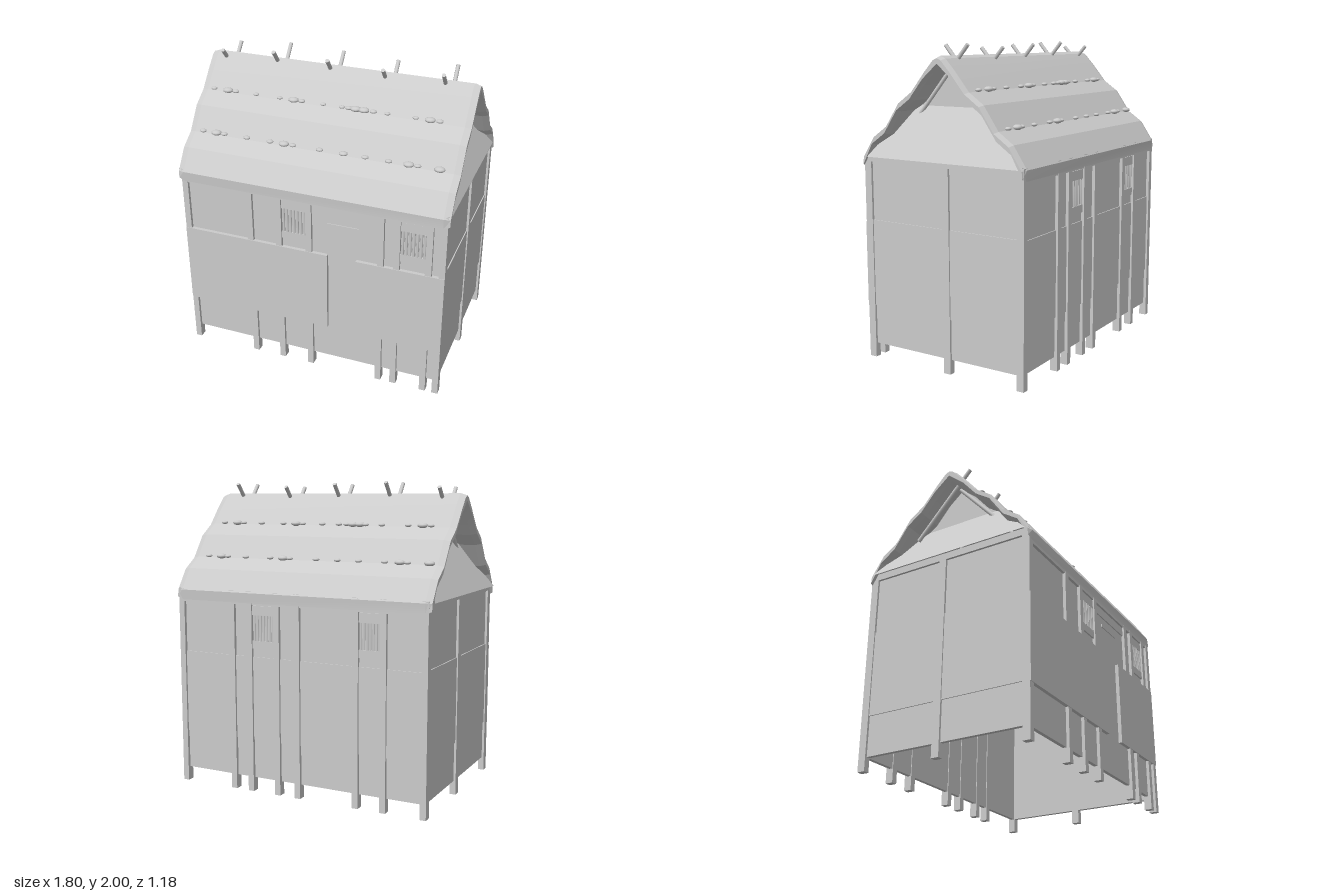
import * as THREE from 'three';
import { toCreasedNormals } from 'three/addons/utils/BufferGeometryUtils.js';

export function createModel() {
  const house = new THREE.Group();
  house.name = 'stiltHouse';
  const mat = new THREE.MeshStandardMaterial({ color: 0xcccccc });
  const matDouble = new THREE.MeshStandardMaterial({ color: 0xcccccc, side: THREE.DoubleSide });

  const add = (name, geo, m = mat) => {
    const mesh = new THREE.Mesh(geo, m);
    mesh.name = name;
    house.add(mesh);
    return mesh;
  };
  // Box given by its limits on each axis
  const box = (name, x0, x1, y0, y1, z0, z1) => {
    const g = new THREE.BoxGeometry(x1 - x0, y1 - y0, z1 - z0);
    g.translate((x0 + x1) / 2, (y0 + y1) / 2, (z0 + z1) / 2);
    return add(name, g);
  };
  // Round pole between two points
  const pole = (name, a, b, r) => {
    const dir = b.clone().sub(a);
    const mesh = add(name, new THREE.CylinderGeometry(r, r, dir.length(), 8));
    mesh.position.copy(a).add(b).multiplyScalar(0.5);
    mesh.quaternion.setFromUnitVectors(new THREE.Vector3(0, 1, 0), dir.normalize());
    return mesh;
  };

  const XL = -0.87, XR = 0.89; // outer faces of the corner posts

  // Wall sheets, open underneath
  box('frontWall', XL + 0.015, XR - 0.015, 0.09, 1.31, 0.535, 0.56);
  box('backWall', XL + 0.015, XR - 0.015, 0.09, 1.31, -0.565, -0.54);
  box('rightWall', XR - 0.04, XR - 0.015, 0.09, 1.31, -0.55, 0.55);
  box('leftWall', XL + 0.015, XL + 0.04, 0.09, 1.31, -0.55, 0.55);

  // Posts down to the ground
  for (const x of [-0.85, -0.4, -0.2, 0.005, 0.48, 0.583, 0.785, 0.87])
    box('frontPost', x - 0.02, x + 0.02, 0, 1.31, 0.53, 0.58);
  for (const x of [-0.85, -0.585, -0.4, 0.005, 0.15, 0.35, 0.48, 0.87])
    box('backPost', x - 0.02, x + 0.02, 0, 1.31, -0.585, -0.535);
  for (const x of [XL, XR - 0.04])
    box('sidePost', x, x + 0.04, 0, 1.31, -0.06, -0.01);

  // Boarded middle band, interrupted by the doorway at the front
  box('frontBoarding', XL, 0.13, 0.335, 0.885, 0.55, 0.584);
  box('frontBoarding', 0.32, XR, 0.335, 0.885, 0.55, 0.584);
  box('backBoarding', XL + 0.02, XR - 0.02, 0.345, 0.89, -0.572, -0.55);
  box('rightBoarding', XR - 0.03, XR - 0.008, 0.345, 0.9, -0.54, 0.54);
  box('leftBoarding', XL + 0.008, XL + 0.03, 0.345, 0.9, -0.54, 0.54);

  // Plates along the tops of the walls
  box('frontPlate', XL, XR, 1.225, 1.31, 0.535, 0.578);
  box('backPlate', XL, XR, 1.225, 1.31, -0.583, -0.54);
  box('rightPlate', XR - 0.04, XR, 1.27, 1.315, -0.575, 0.575);
  box('leftPlate', XL, XL + 0.04, 1.27, 1.315, -0.575, 0.575);

  // Door head and latch rail
  box('doorHead', 0.025, 0.46, 1.16, 1.22, 0.55, 0.568);
  box('doorRail', 0.125, 0.335, 1.09, 1.11, 0.55, 0.566);

  // Barred windows with sills and heads
  const barredWindow = (x0, x1, side) => {
    const strip = (name, y0, y1, d) =>
      side > 0 ? box(name, x0, x1, y0, y1, 0.55, d) : box(name, x0, x1, y0, y1, -d - 0.004, -0.55);
    strip('windowSill', 0.945, 0.995, 0.57);
    strip('windowHead', 1.16, 1.22, 0.57);
    const n = 7, step = (x1 - x0) / n;
    for (let i = 0; i < n; i++) {
      const x = x0 + step * (i + 0.5), z = side * 0.563;
      pole('windowBar', new THREE.Vector3(x, 0.995, z), new THREE.Vector3(x, 1.16, z), 0.009);
    }
  };
  barredWindow(-0.18, -0.015, 1);
  barredWindow(0.603, 0.765, 1);
  barredWindow(0.17, 0.33, -1);
  barredWindow(-0.565, -0.42, -1);

  // Stepped thatch roof: one wavy section run along the ridge, ends bevelled
  const half = [[0.1, 1.84], [0.2, 1.72], [0.3, 1.65], [0.4, 1.505], [0.5, 1.435], [0.59, 1.3]];
  const crest = [[0.035, 1.91], ...half];
  const top = [...crest.map(([z, y]) => [-z, y]).reverse(), [0, 1.925], ...crest];
  const under = [[0.585, 1.235], ...half.slice(0, -1).reverse().map(([z, y]) => [z, y - 0.06])];
  const section = [...top, ...under, [0, 1.865], ...under.map(([z, y]) => [-z, y]).reverse()];
  const roof = new THREE.ExtrudeGeometry(new THREE.Shape(section.map(([z, y]) => new THREE.Vector2(z, y))), {
    depth: 1.71, bevelEnabled: true, bevelThickness: 0.04, bevelSize: 0.012, bevelOffset: -0.012, bevelSegments: 1,
  });
  roof.rotateY(Math.PI / 2).translate(-0.848, 0, 0);
  add('thatchRoof', toCreasedNormals(roof, 0.2));

  // Half-hip below and upright gable above, at both ends
  for (const s of [-1, 1]) {
    const xb = s * 0.9, xt = s * 0.72;
    const p = [[xb, 1.3, 0.565], [xb, 1.3, -0.565], [xt, 1.62, -0.28], [xt, 1.62, 0.28], [xt, 1.875, 0]];
    const end = (name, faces) => {
      const g = new THREE.BufferGeometry();
      const order = s > 0 ? faces : [...faces].reverse();
      g.setAttribute('position', new THREE.Float32BufferAttribute(order.flatMap((i) => p[i]), 3));
      g.computeVertexNormals();
      add(name, g, matDouble);
    };
    end('halfHip', [0, 1, 2, 0, 2, 3]);
    end('gablePanel', [3, 2, 4]);
  }

  // Crossed poles standing through the ridge
  const poles = [[-0.78, 1.96], [-0.42, 1.99], [-0.055, 1.98], [0.31, 1.965], [0.69, 1.985]];
  poles.forEach(([x, y]) => {
    pole('ridgePoleFront', new THREE.Vector3(x - 0.01, 1.53, -0.29), new THREE.Vector3(x, y, 0.09), 0.013);
    pole('ridgePoleBack', new THREE.Vector3(x + 0.045, 1.53, 0.29), new THREE.Vector3(x + 0.04, y + 0.005, -0.1), 0.013);
  });

  // Weight stones lying on the roof steps: [x, size]
  const rows = [
    [-0.405, 1.515, [[-0.8, 3], [-0.66, 2], [-0.61, 3], [-0.51, 2], [-0.335, 2], [-0.19, 2], [-0.04, 2], [0.15, 2],
      [0.2, 3], [0.295, 2], [0.48, 2], [0.62, 2], [0.67, 3], [0.77, 2]]],
    [-0.205, 1.73, [[-0.73, 2], [-0.675, 3], [-0.58, 2], [-0.4, 2], [-0.29, 2], [-0.25, 3], [-0.2, 3], [-0.155, 2],
      [-0.1, 2], [0.02, 2], [0.165, 2], [0.215, 3], [0.31, 2], [0.48, 2], [0.62, 2], [0.67, 3], [0.775, 2]]],
    [0.2, 1.735, [[-0.8, 1.7], [-0.7, 3], [-0.645, 2], [-0.5, 1.7], [-0.335, 1.7], [-0.24, 3], [-0.185, 2], [-0.04, 1.7],
      [0.085, 1.7], [0.13, 2], [0.175, 3], [0.23, 3], [0.29, 2], [0.38, 1.7], [0.56, 1.7], [0.65, 3], [0.71, 2]]],
    [0.4, 1.52, [[-0.79, 2], [-0.695, 3], [-0.64, 2], [-0.48, 2], [-0.32, 2], [-0.225, 3], [-0.165, 2], [0.015, 2],
      [0.17, 2.5], [0.31, 2], [0.46, 2], [0.585, 3], [0.64, 2], [0.775, 3]]],
  ];
  const stoneGeo = new THREE.SphereGeometry(1, 10, 7);
  for (const [z, y, list] of rows)
    for (const [x, size] of list) {
      const stone = add('roofStone', stoneGeo);
      stone.position.set(x, y, z);
      stone.scale.set(size * 0.0115, size * 0.0055, size * 0.0095);
    }

  return house;
}
